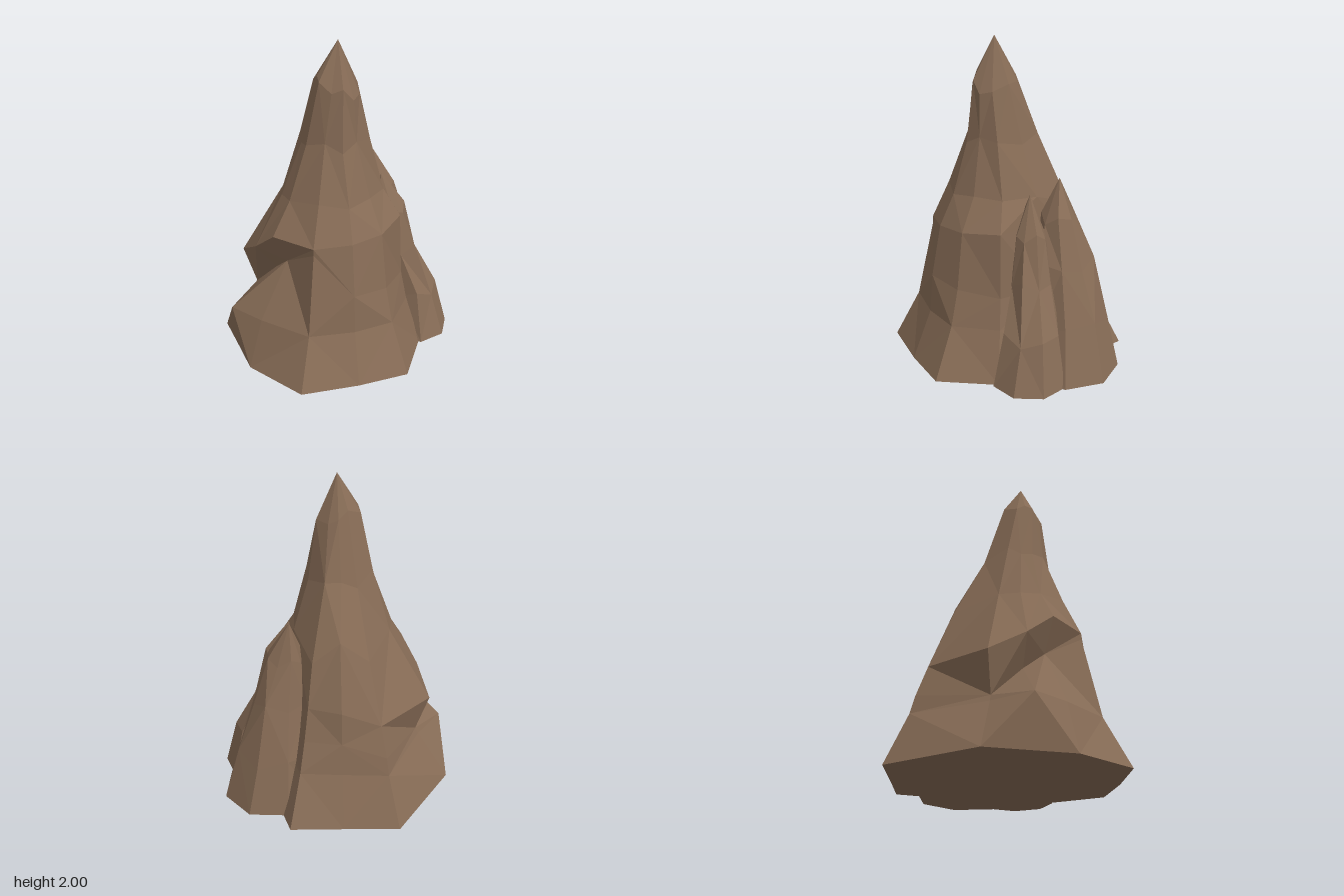
import * as THREE from 'three';

const rock = new THREE.MeshStandardMaterial({ color: 0x876c56, flatShading: true });
rock.name = 'brown rock';

// Closed faceted loft through rings of corners, ending in a pointed apex
function loft(name, rings, apex) {
  const n = rings[0].length;
  const top = rings[rings.length - 1];
  const faces = [];
  for (let i = 0; i < n; i++) {
    const j = (i + 1) % n;
    for (let k = 0; k < rings.length - 1; k++) {
      const a = rings[k][i], b = rings[k][j];
      const c = rings[k + 1][i], d = rings[k + 1][j];
      // alternate the diagonals for a chiselled look
      if ((i + k) % 2) faces.push(a, c, b, b, c, d);
      else faces.push(a, c, d, a, d, b);
    }
    faces.push(top[i], apex, top[j]);
    if (i > 1) faces.push(rings[0][0], rings[0][i - 1], rings[0][i]);
  }
  const geometry = new THREE.BufferGeometry().setFromPoints(faces);
  geometry.computeVertexNormals();
  const mesh = new THREE.Mesh(geometry, rock);
  mesh.name = name;
  return mesh;
}

const corner = (x, y, z, r, degrees) => {
  const a = THREE.MathUtils.degToRad(degrees);
  return new THREE.Vector3(x + r * Math.cos(a), y, z + r * Math.sin(a));
};

// Roughly round ring; above the ground a wave makes ridges and uneven heights
const roundRing = (angles, x, y, z, r) => angles.map((deg, i) => {
  const wave = y > 0 ? 1 : 0;
  return corner(x, y + wave * 0.03 * Math.sin(i * 2.4 + y * 9), z,
    r * (1 + wave * 0.06 * Math.cos(i * 2.7 + y * 5)), deg);
});

// Small spire that follows a leaning centre line of [x, y, z, radius]
function sideSpire(name, turn, line, apex) {
  const angles = Array.from({ length: 8 }, (_, i) => i * 45 + turn);
  return loft(name, line.map((p) => roundRing(angles, ...p)), apex);
}

export function createModel() {
  const group = new THREE.Group();
  group.name = 'rockSpires';

  // Main peak: lower outlines, undercut crease, its ledge, then the neck
  const angles = [0, 34, 62, 91, 125, 145, 167, 216, 242, 268, 315];
  const outline = (heights, radii) =>
    angles.map((deg, i) => corner(0, heights[i] ?? heights[0], 0, radii[i], deg));
  // the tip ring sits lower towards +x
  const tip = roundRing(angles, 0.03, 1.74, 0.07, 0.135);
  for (const p of tip) p.y -= 0.4 * (p.x - 0.03);
  group.add(loft('mainPeak', [
    outline([0], [0.57, 0.68, 0.64, 0.74, 0.7, 0.67, 0.74, 0.78, 0.68, 0.74, 0.5]),
    outline([0.31], [0.47, 0.53, 0.52, 0.58, 0.6, 0.7, 0.54, 0.64, 0.55, 0.58, 0.4]),
    outline([0.5, 0.53, 0.55, 0.81, 0.66, 0.55, 0.35, 0.42],
      [0.43, 0.47, 0.5, 0.47, 0.39, 0.4, 0.52, 0.61, 0.51, 0.51, 0.35]),
    outline([0.9, 0.88, 0.87, 0.85, 0.86, 0.72, 0.59, 0.61, 0.7, 0.7],
      [0.41, 0.42, 0.44, 0.47, 0.49, 0.53, 0.6, 0.54, 0.48, 0.45, 0.3]),
    outline([1.07, 1.08, 1.06, 1.09, 1.06, 1.05, 1.05, 0.98, 1.1, 0.97],
      [0.3, 0.31, 0.35, 0.36, 0.36, 0.35, 0.33, 0.39, 0.34, 0.38, 0.28]),
    roundRing(angles, 0, 1.4, 0.035, 0.21),
    tip,
  ], new THREE.Vector3(0.03, 2, 0.07)));

  // Taller side spire at the back
  group.add(sideSpire('backSpire', 0, [
    [0.27, 0, -0.4, 0.32],
    [0.24, 0.33, -0.39, 0.25],
    [0.22, 0.68, -0.36, 0.18],
    [0.19, 0.95, -0.33, 0.11],
  ], new THREE.Vector3(0.16, 1.18, -0.33)));

  // Shorter spire on the left flank
  group.add(sideSpire('leftSpire', -25, [
    [0.49, 0, -0.18, 0.23],
    [0.46, 0.3, -0.19, 0.17],
    [0.36, 0.6, -0.18, 0.13],
    [0.31, 0.87, -0.17, 0.095],
  ], new THREE.Vector3(0.25, 1.1, -0.16)));

  return group;
}
